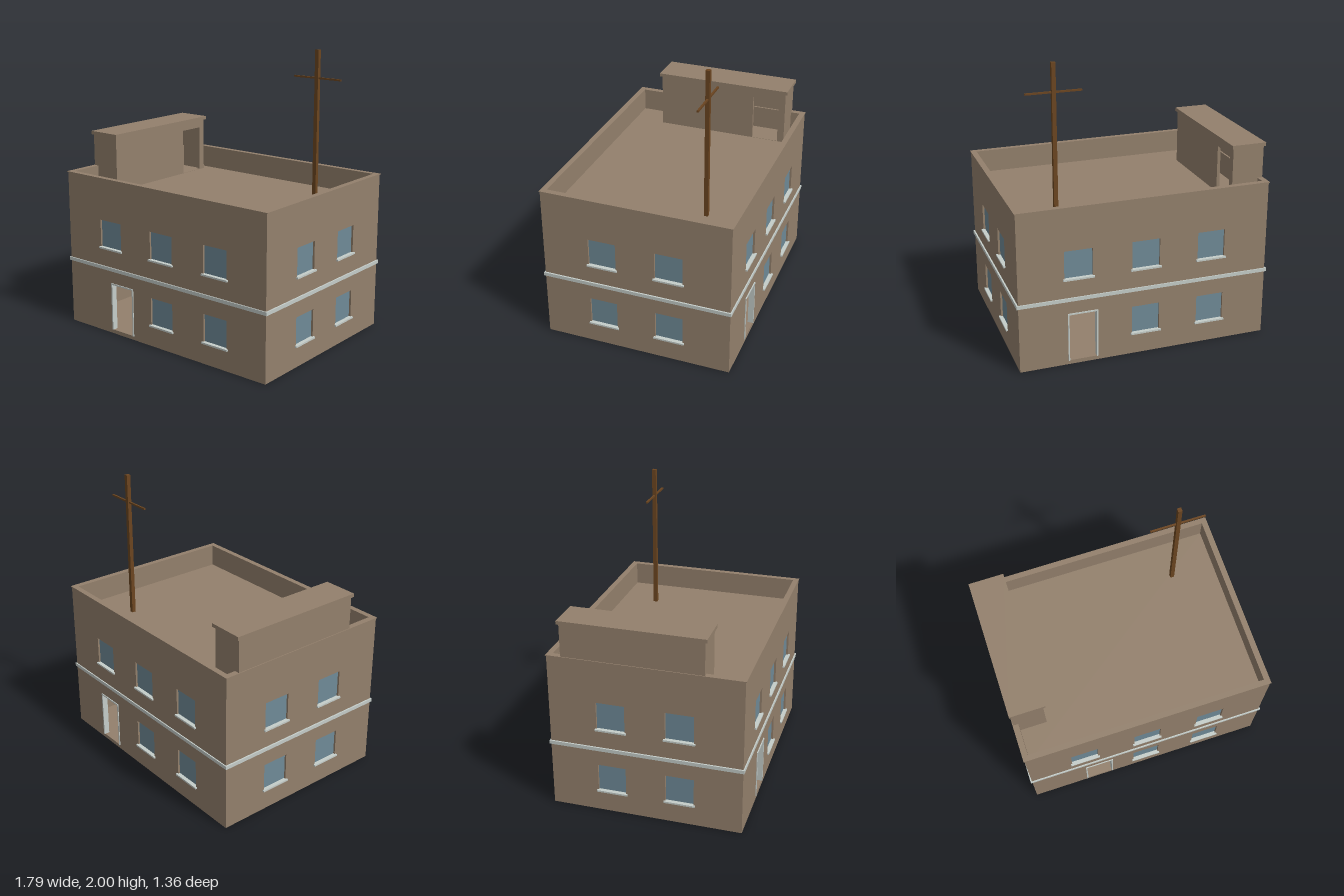
import * as THREE from 'three';

const mat = (name, color) => {
  const m = new THREE.MeshStandardMaterial({ color });
  m.name = name;
  return m;
};

export function createModel() {
  const render = mat('brown render', 0x93806c);
  const trim = mat('pale trim', 0xc5cdc9);
  const glass = mat('blue glass', 0x6f8a97);
  const wood = mat('dark wood', 0x6b4520);

  const W = 0.882, D = 0.664, T = 0.035; // half width, half depth, wall thickness
  const WALL_TOP = 1.122, ROOF = 0.965;

  const model = new THREE.Group();
  model.name = 'building';
  model.position.set(-0.003, 0, 0.002);

  const add = (parent, name, geometry, material) => {
    const mesh = new THREE.Mesh(geometry, material);
    mesh.name = name;
    parent.add(mesh);
    return mesh;
  };

  // Box given by its minimum and maximum corners
  const box = (parent, name, material, x0, x1, y0, y1, z0, z1) => {
    const mesh = add(parent, name, new THREE.BoxGeometry(x1 - x0, y1 - y0, z1 - z0), material);
    mesh.position.set((x0 + x1) / 2, (y0 + y1) / 2, (z0 + z1) / 2);
    return mesh;
  };

  const rectPoints = (x0, x1, y0, y1) => [
    new THREE.Vector2(x0, y0), new THREE.Vector2(x1, y0),
    new THREE.Vector2(x1, y1), new THREE.Vector2(x0, y1),
  ];

  // Upright panel with rectangular openings
  const panel = (outline, openings, depth) => {
    const shape = new THREE.Shape(rectPoints(...outline));
    openings.forEach((o) => shape.holes.push(new THREE.Path(rectPoints(...o).reverse())));
    return new THREE.ExtrudeGeometry(shape, { depth, bevelEnabled: false });
  };

  // Horizontal band running round the building
  const band = (name, material, w, d, iw, id, y0, y1) => {
    const mesh = add(model, name, panel([-w, w, -d, d], [[-iw, iw, -id, id]], y1 - y0), material);
    mesh.rotation.x = -Math.PI / 2;
    mesh.position.y = y0;
  };

  // One outer wall: local +z points outwards
  const wall = (name, half, distance, turn, windows, door) => {
    const side = new THREE.Group();
    side.name = name;
    side.rotation.y = turn;
    model.add(side);
    const holes = windows.map(([x, y]) => [x - 0.098, x + 0.098, y, y + 0.196]);
    const openings = door ? [...holes, [door[0], door[1], 0.028, 0.37]] : holes;
    add(side, name + 'Panel', panel([-half, half, 0, WALL_TOP], openings, T), render)
      .position.z = distance - T;

    holes.forEach(([x0, x1, y0, y1]) => {
      box(side, 'windowPane', glass, x0, x1, y0, y1, distance - 0.022, distance - 0.014);
      box(side, 'windowSill', trim, x0 - 0.01, x1 + 0.01, y0 - 0.011, y0 + 0.001,
        distance - 0.014, distance + 0.014);
    });

    if (door) {
      const [a, b] = door;
      const z0 = distance - T, z1 = distance + 0.006;
      box(side, 'doorJamb', trim, a - 0.004, a + 0.006, 0.028, 0.376, z0, z1);
      box(side, 'doorJamb', trim, b - 0.006, b + 0.004, 0.028, 0.376, z0, z1);
      box(side, 'doorHead', trim, a, b, 0.366, 0.376, z0, z1);
    }
  };

  // Outer walls
  const LOW = 0.156, HIGH = 0.629, X = 0.47, Z = 0.236;
  const upper = [[-X, HIGH], [0, HIGH], [X, HIGH]];
  const lower = [[0, LOW], [X, LOW]];
  const sides = [[-Z, LOW], [Z, LOW], [-Z, HIGH], [Z, HIGH]];
  wall('frontWall', W, D, 0, [...upper, ...lower], [-0.47, -0.268]);
  wall('backWall', W, D, Math.PI, [...upper, ...lower], [-0.545, -0.343]);
  wall('leftWall', D - T, W, Math.PI / 2, sides);
  wall('rightWall', D - T, W, -Math.PI / 2, sides);

  // Floors and roof deck
  const iw = W - T, id = D - T;
  box(model, 'groundFloor', render, -iw, iw, 0, 0.028, -id, id);
  box(model, 'upperFloor', render, -iw, iw, 0.455, 0.49, -id, id);
  box(model, 'roofDeck', render, -iw, iw, ROOF - 0.03, ROOF, -id, id);

  // Belt course and parapet coping
  band('beltCourse', trim, W + 0.011, D + 0.008, W - 0.01, D - 0.01, 0.466, 0.491);
  band('parapetCoping', render, W + 0.006, D + 0.005, iw, id, WALL_TOP, 1.128);

  // Hollow stair house with an open doorway facing the roof
  const stair = new THREE.Group();
  stair.name = 'stairHouse';
  model.add(stair);
  const sx0 = -W, sx1 = -0.657, sz0 = -0.565, sz1 = 0.403, t = 0.022, top = 1.357;
  box(stair, 'stairOuterWall', render, sx0, sx0 + t, 1.128, top, sz0, sz1);
  box(stair, 'stairBackWall', render, sx0 + t, sx1 - t, ROOF, top, sz0, sz0 + t);
  box(stair, 'stairFrontWall', render, sx0 + t, sx1 - t, ROOF, top, sz1 - t, sz1);
  const doorWall = add(stair, 'stairDoorWall',
    panel([-sz1, -sz0, ROOF, top], [[0.32, 0.515, ROOF + 0.002, 1.3]], t), render);
  doorWall.rotation.y = Math.PI / 2;
  doorWall.position.x = sx1 - t;
  box(stair, 'stairRoof', render, -0.891, -0.643, top, 1.382, -0.58, 0.418);

  // Mast with a cross arm
  box(model, 'mast', wood, 0.519, 0.547, ROOF, 2, -0.386, -0.358);
  box(model, 'crossArm', wood, 0.342, 0.724, 1.799, 1.811, -0.378, -0.366);

  return model;
}
